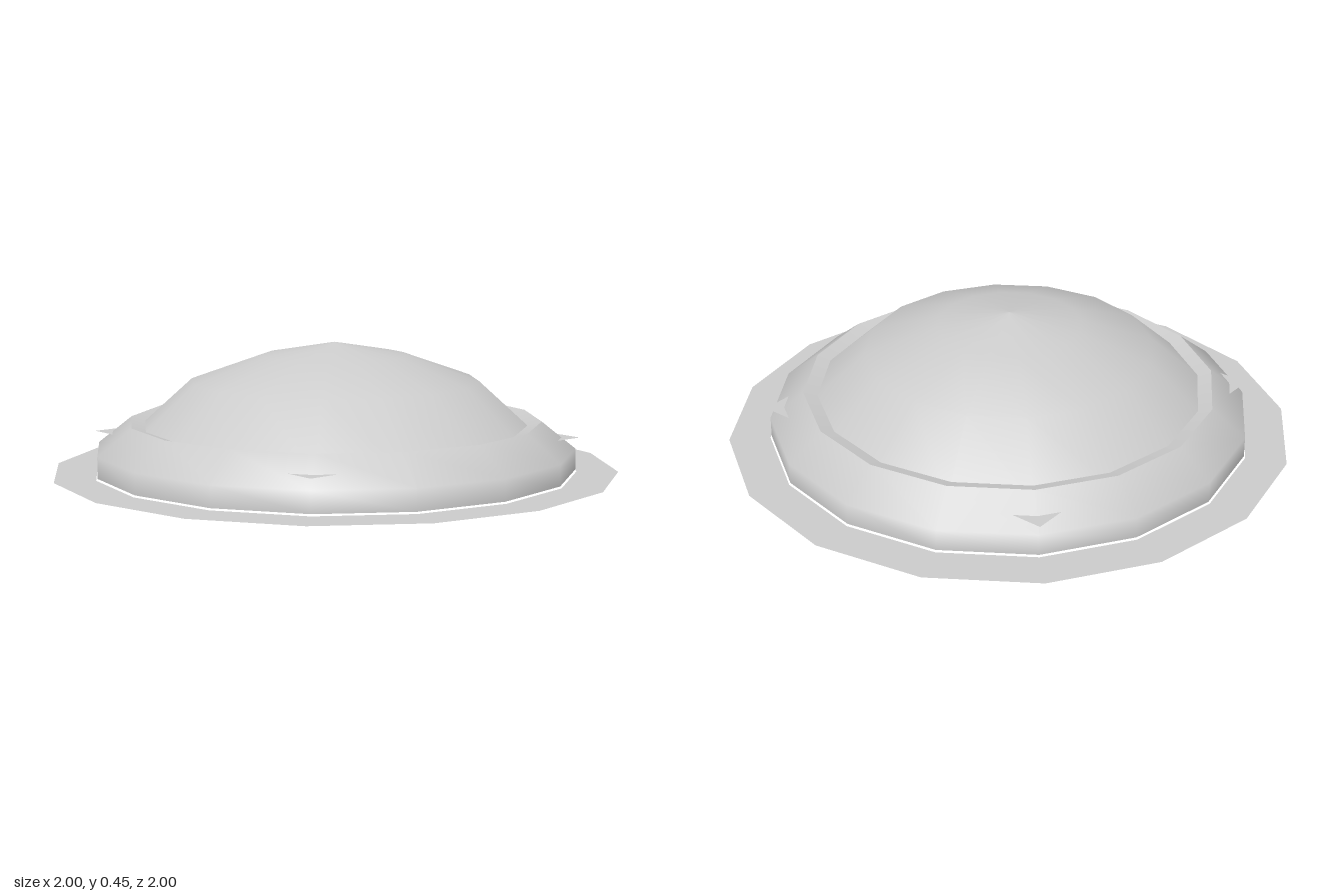
import * as THREE from 'three';

const SIDES = 16;
const material = new THREE.MeshStandardMaterial({ color: 0xcccccc, side: THREE.DoubleSide });

function add(parent, name, geometry, y = 0) {
  const mesh = new THREE.Mesh(geometry, material);
  mesh.name = name;
  mesh.position.y = y;
  parent.add(mesh);
  return mesh;
}

// Turned surface from [radius, height] pairs
function turned(points) {
  return new THREE.LatheGeometry(points.map(([r, y]) => new THREE.Vector2(r, y)), SIDES);
}

// Horizontal square sheet
function sheet(size) {
  return new THREE.PlaneGeometry(size, size).rotateX(-Math.PI / 2);
}

export function createModel() {
  const model = new THREE.Group();
  model.name = 'domedDisc';

  // Flat brim on the ground
  add(model, 'brim', new THREE.RingGeometry(0.855, 1, SIDES).rotateX(-Math.PI / 2));

  // Raised collar, in separate pieces so the edges stay crisp
  const collar = new THREE.Group();
  collar.name = 'collar';
  add(collar, 'collarOuter', turned([[0.85, 0.006], [0.85, 0.08], [0.73, 0.175]]));
  add(collar, 'collarLip', turned([[0.73, 0.175], [0.68, 0.16]]));
  add(collar, 'collarInner', turned([[0.725, 0.13], [0.736, 0.006]]));
  add(collar, 'collarBase', turned([[0.736, 0.006], [0.85, 0.006]]));
  model.add(collar);

  // Shallow dome, open underneath
  add(model, 'dome', turned([[0.73, 0.115], [0.51, 0.315], [0.255, 0.405], [0, 0.45]]));

  // Square sheet whose corners poke through the collar, and a smaller one below it
  add(model, 'squarePlate', sheet(1.22), 0.12);
  add(model, 'innerPlate', sheet(0.88), 0.1);

  return model;
}
